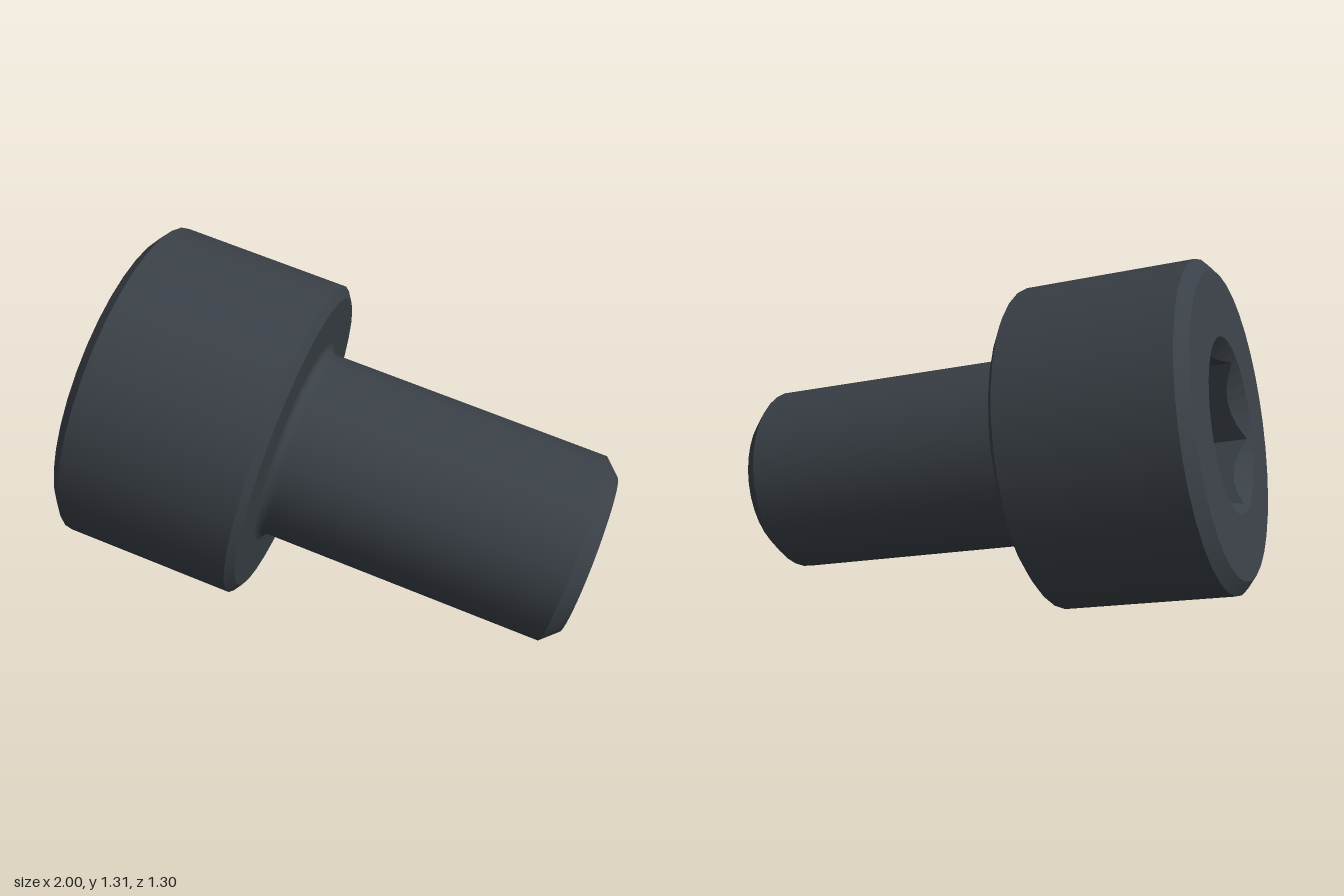
import * as THREE from 'three';

const SIDES = 36;                                  // multiple of 6, so rims meet the hexagon
const START = THREE.MathUtils.degToRad(53.5);      // angle of the first hexagon corner
const HEX_R = 0.303, MOUTH_R = 0.318, DEPTH = 0.42;
const HEAD_H = 0.695, LENGTH = 1.829;

const steel = new THREE.MeshStandardMaterial({ color: 0x3a4047 });
steel.name = 'darkSteel';

// Turned surface along local y; profile points are [radius, height]
function turned(name, profile) {
  const pts = profile.map(([r, y]) => new THREE.Vector2(r, y));
  const mesh = new THREE.Mesh(new THREE.LatheGeometry(pts, SIDES, START), steel);
  mesh.name = name;
  return mesh;
}

// Hexagonal recess: floor, six walls and the conical lead-in at its mouth
function hexSocket() {
  const hexRadius = (a) => {
    const t = (a % (Math.PI / 3)) - Math.PI / 6;
    return HEX_R * Math.cos(Math.PI / 6) / Math.cos(t);
  };
  const rings = [
    () => [0, DEPTH],
    (a) => [hexRadius(a), DEPTH],
    (a) => [hexRadius(a), (MOUTH_R - hexRadius(a)) * 1.1],
    () => [MOUTH_R, 0],
  ];
  const point = (k, i) => {
    const a = (i % SIDES) * Math.PI * 2 / SIDES;
    const [r, y] = rings[k](a + 1e-9);
    return [r * Math.sin(a + START), y, r * Math.cos(a + START)];
  };
  const pos = [];
  for (let k = 0; k < rings.length - 1; k++) {
    for (let i = 0; i < SIDES; i++) {
      const a = point(k, i), b = point(k, i + 1);
      const c = point(k + 1, i + 1), d = point(k + 1, i);
      if (k > 0) pos.push(...a, ...b, ...d);
      pos.push(...c, ...d, ...b);
    }
  }
  const geo = new THREE.BufferGeometry();
  geo.setAttribute('position', new THREE.Float32BufferAttribute(pos, 3));
  geo.computeVertexNormals();
  const mesh = new THREE.Mesh(geo, steel);
  mesh.name = 'hexSocket';
  return mesh;
}

export function createModel() {
  const model = new THREE.Group();
  model.name = 'socketHeadScrew';

  // Head
  const head = new THREE.Group();
  head.name = 'head';
  head.add(
    hexSocket(),
    turned('headFace', [[MOUTH_R, 0], [0.552, 0]]),
    turned('headTopChamfer', [[0.552, 0], [0.6, 0.04]]),
    turned('headSide', [[0.6, 0.04], [0.6, 0.67]]),
    turned('headBottomChamfer', [[0.6, 0.67], [0.563, HEAD_H]]),
    turned('headUnderside', [[0.563, HEAD_H], [0.388, HEAD_H]]),
  );

  // Shank with a small fillet under the head
  const fillet = [];
  for (let i = 0; i <= 5; i++) {
    const a = i / 5 * Math.PI / 2;
    fillet.push([0.388 - 0.035 * Math.sin(a), HEAD_H + 0.035 * (1 - Math.cos(a))]);
  }
  const shank = new THREE.Group();
  shank.name = 'shank';
  shank.add(
    turned('shankSide', [...fillet, [0.353, HEAD_H + 0.05], [0.353, LENGTH - 0.06]]),
    turned('tipChamfer', [[0.353, LENGTH - 0.06], [0.297, LENGTH]]),
    turned('tipFace', [[0.297, LENGTH], [0, LENGTH]]),
  );

  // Tilt the axis and set the screw down on its head rim and tip
  const axis = new THREE.Vector3(0.953, -0.215, 0.203).normalize();
  const side = new THREE.Vector3().crossVectors(axis, new THREE.Vector3(0, 1, 0)).normalize();
  const up = new THREE.Vector3().crossVectors(side, axis);
  const screw = new THREE.Group();
  screw.name = 'screw';
  screw.add(head, shank);
  screw.quaternion.setFromRotationMatrix(new THREE.Matrix4().makeBasis(side, axis, up));
  screw.position.set(-0.833, 0.73, -0.073);
  model.add(screw);
  return model;
}
